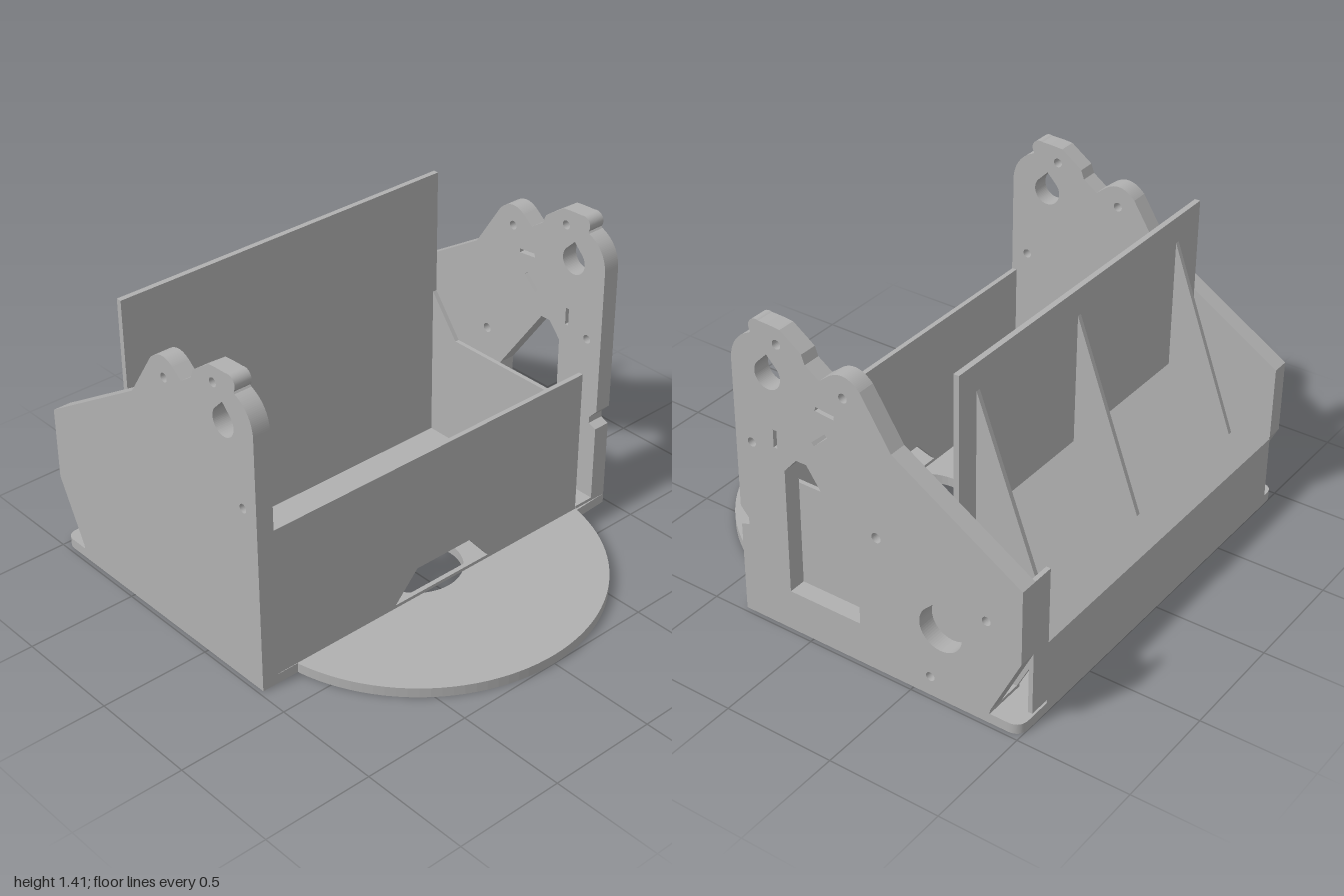
import * as THREE from 'three';

const grey = new THREE.MeshStandardMaterial({ color: 0xb0b0b0 });
grey.name = 'grey plastic';

export function createModel() {
  const model = new THREE.Group();
  const add = (name, geo) => {
    const m = new THREE.Mesh(geo, grey);
    m.name = name;
    model.add(m);
    return m;
  };
  const poly = (pts) => new THREE.Shape(pts.map(([x, y]) => new THREE.Vector2(x, y)));
  const circle = (x, y, r) => new THREE.Path().absarc(x, y, r, 0, Math.PI * 2, true);
  const extrude = (shape, depth) =>
    new THREE.ExtrudeGeometry(shape, { depth, bevelEnabled: false, curveSegments: 24 });
  const box = (name, x0, x1, y0, y1, z0, z1) =>
    add(name, new THREE.BoxGeometry(x1 - x0, y1 - y0, z1 - z0)
      .translate((x0 + x1) / 2, (y0 + y1) / 2, (z0 + z1) / 2));
  // profile drawn in x/y, thickness from z0 to z1
  const slab = (name, shape, z0, z1) => add(name, extrude(shape, z1 - z0).translate(0, 0, z0));
  // circle with a pointed top
  const teardrop = (x, y, r, tip) => {
    const p = new THREE.Path();
    p.moveTo(x, y + tip);
    p.absarc(x, y, r, Math.PI * 0.76, Math.PI * 2.24, false);
    p.lineTo(x, y + tip);
    return p;
  };
  // narrow slot of half length l turned by angle a
  const slot = (x, y, l, a) => {
    const c = Math.cos(a), s = Math.sin(a), w = 0.009;
    return poly([[-l, -w], [l, -w], [l, w], [-l, w]]
      .map(([u, v]) => [x + u * c - v * s, y + u * s + v * c]));
  };

  // Base: rectangle joined with a round turntable, in two layers
  const baseShape = () => {
    const s = new THREE.Shape();
    const a = Math.acos(0.17 / 0.82);
    const e = Math.asin(0.8 / 0.82);
    s.moveTo(-0.94, -0.98);
    s.lineTo(0.35, -0.98);
    s.lineTo(0.35, -0.8);
    s.absarc(0.18, 0, 0.82, -Math.min(a, e), Math.min(a, e), false);
    s.lineTo(0.35, 0.98);
    s.lineTo(-0.94, 0.98);
    s.quadraticCurveTo(-1, 0.98, -1, 0.92);
    s.lineTo(-1, -0.92);
    s.quadraticCurveTo(-1, -0.98, -0.94, -0.98);
    s.holes.push(circle(0.175, 0, 0.205), circle(-0.49, -0.7, 0.02));
    return s;
  };
  const lower = baseShape();
  lower.holes.push(circle(-0.095, 0.39, 0.073), circle(0.04, 0.64, 0.02), circle(-0.37, 0.33, 0.02));
  const upper = baseShape();
  // motor recess: a disc with two screw ears
  const recess = [];
  for (let i = 0; i < 144; i++) {
    const t = (i / 144) * Math.PI * 2;
    const dev = Math.abs(Math.sin(t)) * 0.264;
    const r = dev < 0.06 ? Math.abs(Math.cos(t)) * 0.264 + Math.sqrt(0.0036 - dev * dev) : 0.22;
    const q = t + Math.atan2(0.16, 0.21);
    recess.push([-0.17 + r * Math.cos(q), 0.483 + r * Math.sin(q)]);
  }
  upper.holes.push(poly(recess));
  add('baseLower', extrude(lower, 0.025).rotateX(-Math.PI / 2));
  add('baseUpper', extrude(upper, 0.02).rotateX(-Math.PI / 2).translate(0, 0.025, 0));

  // Side plates
  const plateShape = (notched) => {
    const s = new THREE.Shape();
    s.moveTo(-0.86, 0.045);
    s.lineTo(0.35, 0.045);
    if (notched) [[0.35, 0.42], [0.31, 0.435], [0.31, 0.465], [0.35, 0.51]].forEach((p) => s.lineTo(...p));
    s.lineTo(0.35, 1.2);
    s.quadraticCurveTo(0.34, 1.3, 0.25, 1.338);
    s.absarc(0.215, 1.37, 0.038, -0.7, 1.9, false);
    s.quadraticCurveTo(0.14, 1.405, 0.1, 1.4);
    s.lineTo(0, 1.33);
    s.lineTo(-0.015, 1.29);
    s.lineTo(-0.08, 1.245);
    s.lineTo(-0.13, 1.285);
    s.quadraticCurveTo(-0.2, 1.335, -0.27, 1.265);
    s.lineTo(-0.41, 1.05);
    s.lineTo(-1, 0.685);
    s.lineTo(-1, 0.35);
    s.lineTo(-0.86, 0.06);
    s.holes.push(teardrop(0.172, 1.18, 0.063, 0.09));
    for (const [x, y] of [[-0.19, 1.21], [0.12, 1.33], [0.27, 0.84]]) s.holes.push(circle(x, y, 0.02));
    return s;
  };
  slab('frontSidePlate', plateShape(false), 0.9, 0.98);
  const rear = plateShape(true);
  rear.holes.push(
    poly([[0.11, 0.19], [0.11, 0.77], [0.05, 0.84], [0, 0.84], [-0.24, 0.5], [-0.24, 0.19]]),
    teardrop(-0.63, 0.34, 0.1, 0.14),
    circle(-0.33, 0.64, 0.022), circle(-0.84, 0.48, 0.02), circle(-0.58, 0.09, 0.02),
    slot(-0.1, 1.11, 0.045, 0.1), slot(0.15, 0.9, 0.04, 1.57), slot(-0.07, 0.98, 0.045, -0.75));
  slab('rearSidePlate', rear, -0.98, -0.9);

  // Inner rear wall with a stepped top
  slab('rearInnerWall', poly([[-0.86, 0.045], [0.33, 0.045], [0.33, 0.58], [-0.41, 0.58],
    [-0.56, 0.775], [-0.585, 0.66], [-1, 0.34], [-0.86, 0.06]]), -0.8, -0.78);

  // Right wall with a trapezoid cable opening, drawn in -z/y
  const wall = poly([[-0.9, 0.045], [0.8, 0.045], [0.8, 0.74], [-0.9, 0.74]]);
  wall.holes.push(poly([[-0.27, 0.06], [-0.15, 0.19], [0.15, 0.19], [0.26, 0.06]]));
  add('rightWall', extrude(wall, 0.022).rotateY(Math.PI / 2).translate(0.326, 0, 0));

  // Tall back panel, sloped shelf and outer left wall
  box('tallPanel', -0.585, -0.56, 0.045, 1.36, -0.8, 0.9);
  slab('slopedShelf', poly([[-1, 0.31], [-0.585, 0.63], [-0.585, 0.66], [-1, 0.34]]), -0.8, 0.9);
  box('leftWall', -1, -0.965, 0.045, 0.325, -0.8, 0.9);

  // Triangular ribs behind the panel
  for (const z of [-0.68, -0.005, 0.73])
    slab('rib', poly([[-0.9, 0.41], [-0.585, 0.64], [-0.585, 1.24]]), z - 0.01, z + 0.01);

  // Rear channel: floor, end cap and small gussets
  box('channelFloor', -0.86, 0.35, 0.045, 0.06, -0.9, -0.8);
  box('channelEndCap', -1, -0.98, 0.06, 0.685, -0.9, -0.8);
  for (const x of [-0.825, -0.385, 0.23])
    add('gusset', extrude(poly([[0.85, 0.06], [0.9, 0.06], [0.9, 0.11]]), 0.044)
      .rotateY(Math.PI / 2).translate(x - 0.022, 0, 0));

  return model;
}
